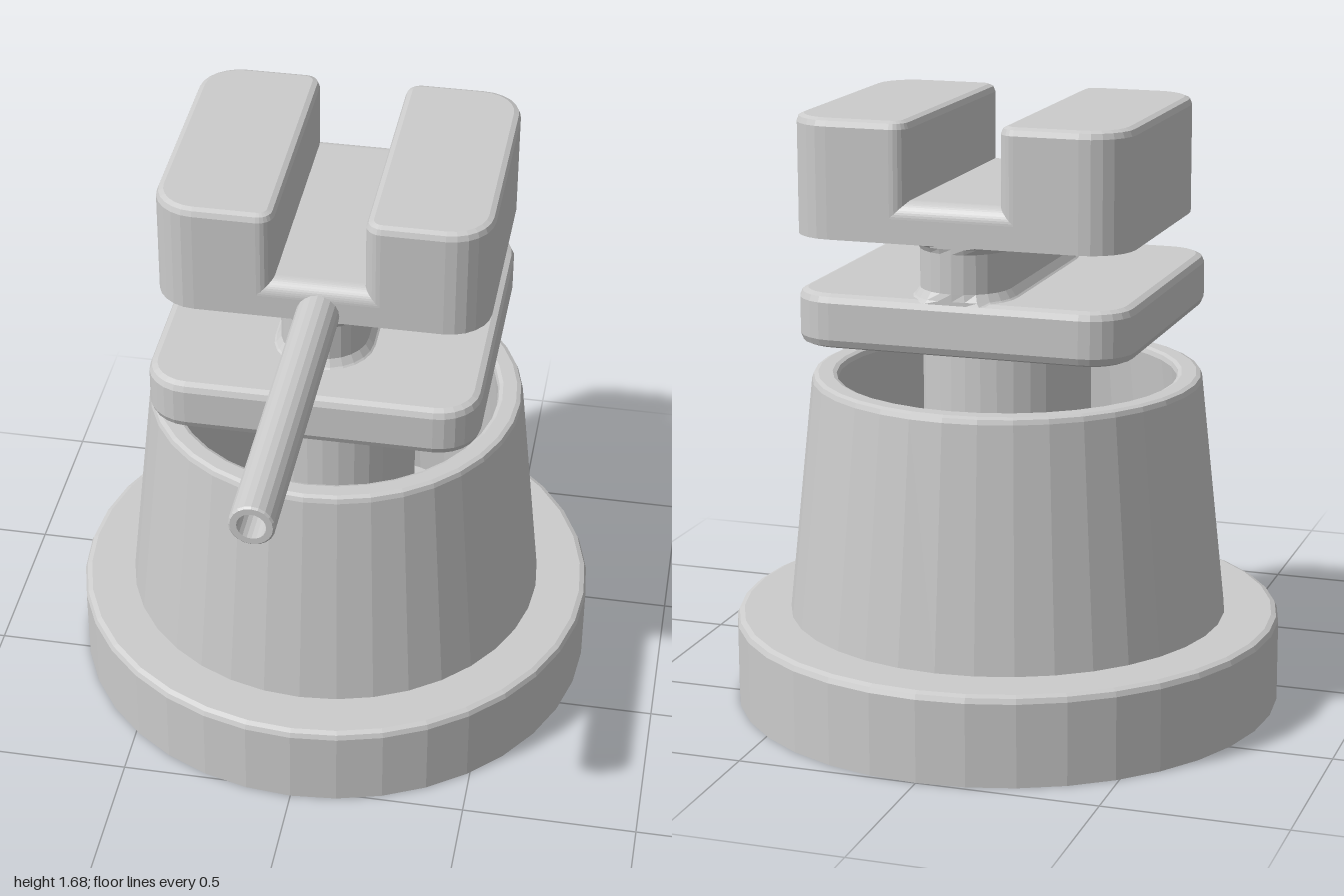
import * as THREE from 'three';

const material = new THREE.MeshStandardMaterial({ color: 0xcccccc, flatShading: true });
const CZ = -0.235; // z of the turned parts' axis

function add(group, name, geometry) {
  const mesh = new THREE.Mesh(geometry, material);
  mesh.name = name;
  group.add(mesh);
  return mesh;
}

const lathe = (points, segments) =>
  new THREE.LatheGeometry(points.map(([r, y]) => new THREE.Vector2(r, y)), segments);

// Rounded rectangle loop; radii start at (+x,+z) and go round towards -x, -z
function ring([x0, x1, z0, z1], radii, inset, y) {
  const signs = [[1, 1], [-1, 1], [-1, -1], [1, -1]], steps = 6, out = [];
  signs.forEach(([sx, sz], q) => {
    const r = radii[q], R = Math.max(r - inset, 0.002);
    const cx = sx > 0 ? x1 - r : x0 + r;
    const cz = sz > 0 ? z1 - r : z0 + r;
    for (let i = 0; i <= steps; i++) {
      const a = (q + i / steps) * Math.PI / 2;
      out.push([cx + R * Math.cos(a), y, cz + R * Math.sin(a)]);
    }
  });
  return out;
}

// Skin rounded-rectangle loops listed from bottom to top as [y, inset], with caps
function loft(rect, radii, levels) {
  const rings = levels.map(([y, inset]) => ring(rect, radii, inset, y));
  const n = rings[0].length, pos = rings.flat(2), index = [];
  for (let k = 0; k < rings.length - 1; k++) {
    for (let i = 0; i < n; i++) {
      const a = k * n + i, b = k * n + (i + 1) % n;
      index.push(a, a + n, b, b, a + n, b + n);
    }
  }
  const top = (rings.length - 1) * n;
  for (let i = 1; i < n - 1; i++) {
    index.push(0, i, i + 1, top, top + i + 1, top + i);
  }
  const g = new THREE.BufferGeometry();
  g.setAttribute('position', new THREE.Float32BufferAttribute(pos, 3));
  g.setIndex(index);
  g.computeVertexNormals();
  return g;
}

export function createModel() {
  const model = new THREE.Group();
  model.name = 'swivelClamp';

  // Round foot
  add(model, 'base', lathe([
    [0, 0], [0.765, 0], [0.765, 0.23], [0.759, 0.244], [0.745, 0.25], [0, 0.25],
  ], 36)).position.z = CZ;

  // Hollow tapered cup
  add(model, 'taperedCup', lathe([
    [0.613, 0.25], [0.542, 0.915], [0.537, 0.928], [0.525, 0.933],
    [0.485, 0.933], [0.474, 0.928], [0.47, 0.915], [0.54, 0.252], [0, 0.252],
  ], 36)).position.z = CZ;

  // Central post, flaring into the plate
  add(model, 'post', lathe([
    [0.233, 0.25], [0.233, 1.035], [0.239, 1.053], [0.25, 1.064], [0.268, 1.071],
  ], 32)).position.z = CZ;

  // Lower plate with softened edges
  add(model, 'plate', loft([-0.465, 0.465, -0.697, 0.233], [0.12, 0.12, 0.12, 0.12], [
    [1.068, 0.025], [1.075, 0.008], [1.093, 0], [1.193, 0], [1.209, 0.007], [1.216, 0.023],
  ]));

  // Neck with filleted ends, trimmed flush with the plate and the jaws
  const neck = loft([-0.123, 0.123, -0.695, 0.075], [0.122, 0.122, 0.122, 0.122], [
    [1.21, -0.027], [1.22, -0.014], [1.24, 0], [1.345, 0], [1.359, -0.008], [1.366, -0.02],
  ]);
  const p = neck.attributes.position;
  for (let i = 0; i < p.count; i++) {
    const zMax = p.getY(i) > 1.3 ? 0.075 : 1;
    p.setZ(i, THREE.MathUtils.clamp(p.getZ(i), -0.695, zMax));
  }
  add(model, 'neck', neck);

  // Two jaw blocks: large outer corners, small inner corners
  for (const side of [1, -1]) {
    const rect = side > 0 ? [0.125, 0.465, -0.697, 0.075] : [-0.465, -0.125, -0.697, 0.075];
    const radii = side > 0 ? [0.12, 0.045, 0.045, 0.12] : [0.045, 0.12, 0.12, 0.045];
    add(model, side > 0 ? 'leftJaw' : 'rightJaw', loft(rect, radii, [
      [1.365, 0], [1.664, 0], [1.679, 0.006], [1.685, 0.02],
    ]));
  }

  // Web joining the jaws, rounded along its front and back top edges
  const web = new THREE.Shape();
  web.moveTo(-0.075, 1.365);
  web.lineTo(0.697, 1.365);
  web.lineTo(0.697, 1.43);
  web.absarc(0.652, 1.43, 0.045, 0, Math.PI / 2);
  web.absarc(-0.03, 1.43, 0.045, Math.PI / 2, Math.PI);
  web.closePath();
  const webGeometry = new THREE.ExtrudeGeometry(web, {
    depth: 0.34, bevelEnabled: false, curveSegments: 6,
  });
  webGeometry.rotateY(Math.PI / 2).translate(-0.17, 0, 0);
  add(model, 'web', webGeometry);

  // Hollow handle rod reaching forwards
  const rod = lathe([
    [0.06, -0.05], [0.06, 0.995], [0.055, 1], [0.038, 1], [0.038, 0.1], [0, 0.1],
  ], 20);
  rod.rotateX(Math.PI / 2);
  add(model, 'handleRod', rod).position.y = 1.388;

  return model;
}
